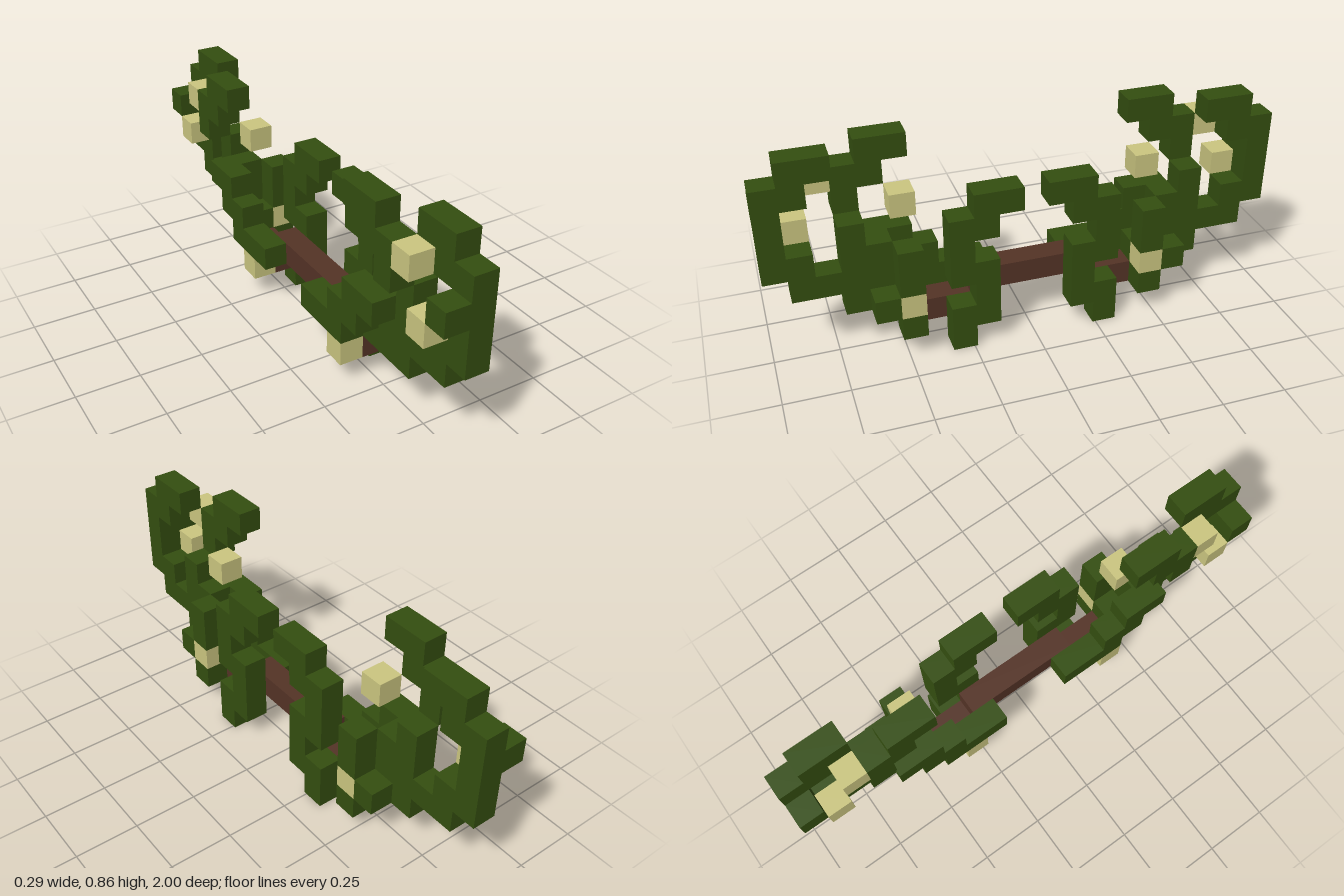
import * as THREE from 'three';

const U = 2 / 21; // one block

export function createModel() {
  const model = new THREE.Group();
  model.name = 'blockBow';
  const mat = (name, color) => {
    const m = new THREE.MeshStandardMaterial({ color });
    m.name = name;
    return m;
  };
  const leaf = mat('leaf green', 0x344e10);
  const wood = mat('bark brown', 0x543326);
  const petal = mat('petal yellow', 0xcbc680);

  // Box covering rows y0..y1 and depth cells z0..z1 of layer x
  function block(parent, name, material, x, y0, y1, z0, z1) {
    const h = y1 - y0 + 1, d = z1 - z0 + 1;
    const mesh = new THREE.Mesh(new THREE.BoxGeometry(U, h * U, d * U), material);
    mesh.position.set(x * U, (y0 + h / 2) * U, ((z0 + z1) / 2) * U);
    mesh.name = name;
    parent.add(mesh);
  }

  // Runs of blocks for one limb: [layer, first row, last row, inner cell, outer cell]
  const parts = [
    ['handleEnd', wood, [[0, 1, 1, 3, 4]]],
    ['limb', leaf, [
      [0, 2, 2, 5, 7], [0, 3, 3, 7, 9], [0, 4, 4, 9, 9],
      [0, 4, 7, 10, 10], [0, 7, 7, 9, 9], [0, 8, 8, 8, 9], [-1, 6, 6, 10, 10],
    ]],
    ['outerVine', leaf, [
      [1, 6, 6, 1, 2], [1, 5, 5, 2, 3], [1, 3, 4, 3, 3], [1, 1, 3, 2, 2], [1, 0, 1, 3, 3],
    ]],
    ['sideSprig', leaf, [[1, 3, 4, 5, 5], [1, 2, 2, 6, 6], [1, 1, 1, 5, 5]]],
    ['innerVine', leaf, [
      [-1, 2, 2, 2, 4], [-1, 3, 3, 4, 5], [-1, 4, 4, 5, 6], [0, 3, 4, 6, 6],
      [0, 4, 5, 7, 7], [-1, 6, 7, 7, 7], [-1, 7, 7, 6, 6], [-1, 8, 8, 5, 6],
    ]],
    ['flower', petal, [[-1, 7, 7, 8, 8], [-1, 5, 5, 9, 9], [0, 6, 6, 5, 5], [1, 2, 2, 5, 5]]],
  ];

  // Handle across the middle
  block(model, 'handle', wood, 0, 2, 2, -2, 2);

  // Mirrored front and back limbs
  for (const s of [1, -1]) {
    const limb = new THREE.Group();
    limb.name = s > 0 ? 'frontLimb' : 'backLimb';
    for (const [name, material, runs] of parts) {
      for (const [x, y0, y1, a, b] of runs) {
        block(limb, name, material, x, y0, y1, Math.min(s * a, s * b), Math.max(s * a, s * b));
      }
    }
    model.add(limb);
  }

  // Low flowers, placed unevenly along the handle
  for (const z of [4, -3]) block(model, 'lowFlower', petal, -1, 1, 1, z, z);

  return model;
}
